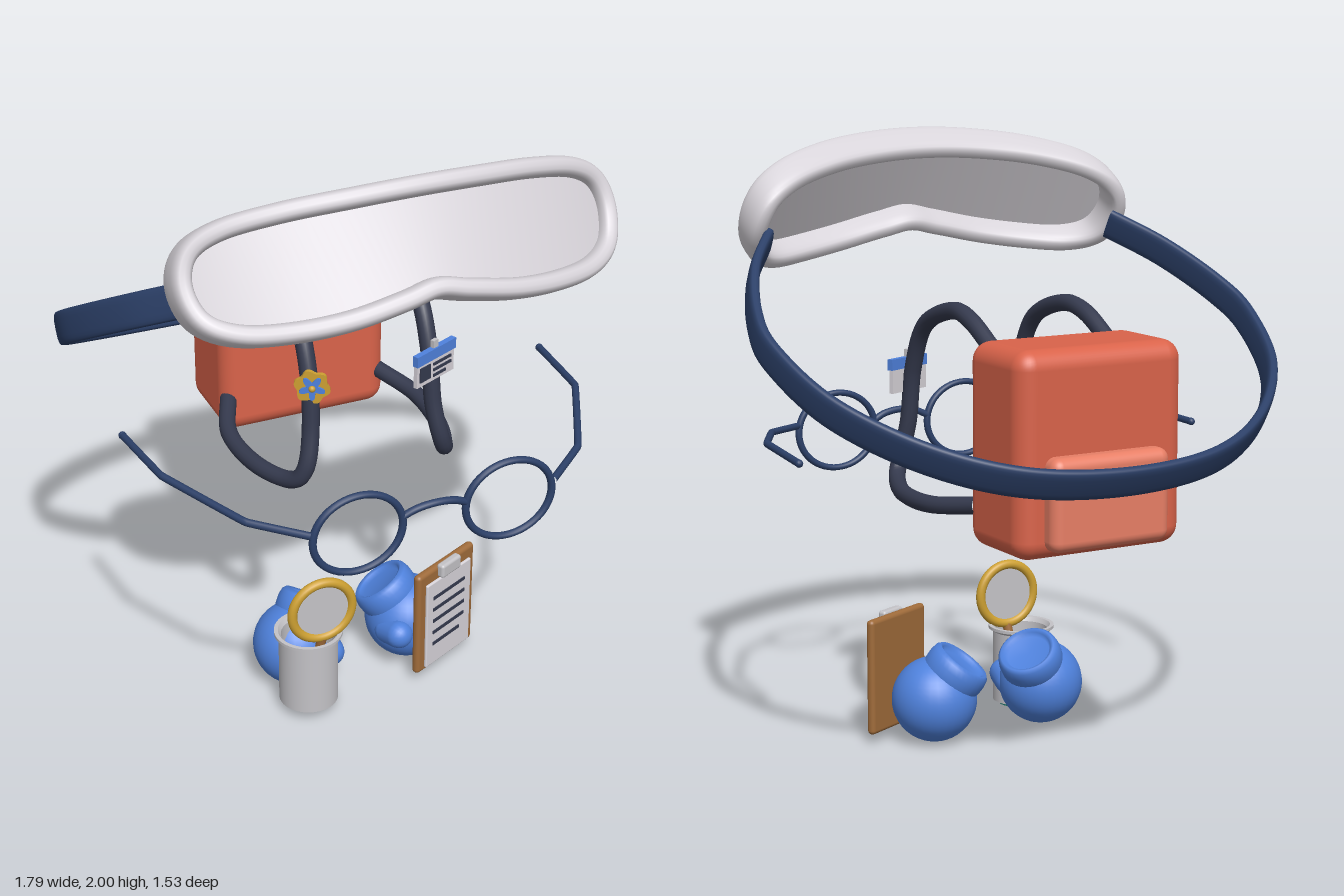
import * as THREE from 'three';
import { RoundedBoxGeometry } from 'three/addons/geometries/RoundedBoxGeometry.js';

const mat = (name, color, side = THREE.FrontSide) => {
  const m = new THREE.MeshStandardMaterial({ color, side });
  m.name = name;
  return m;
};
const V = (x, y, z) => new THREE.Vector3(x, y, z);
const spline = (pts, closed = false, tension = 0.5) =>
  new THREE.CatmullRomCurve3(pts, closed, 'catmullrom', tension);

// Sweeps a rounded section (half width a, half height b along axis) along points
function sweep(pts, axis, a, b, closed, power, sides = 20) {
  const n = pts.length, pos = [], idx = [];
  const soft = (v) => Math.sign(v) * Math.abs(v) ** power;
  pts.forEach((p, i) => {
    const prev = closed ? pts[(i + n - 1) % n] : pts[Math.max(i - 1, 0)];
    const next = closed ? pts[(i + 1) % n] : pts[Math.min(i + 1, n - 1)];
    const side = next.clone().sub(prev).cross(axis).normalize();
    for (let j = 0; j < sides; j++) {
      const t = (j / sides) * Math.PI * 2;
      const q = p.clone().addScaledVector(side, a * soft(Math.cos(t))).addScaledVector(axis, b * soft(Math.sin(t)));
      pos.push(q.x, q.y, q.z);
    }
  });
  for (let i = 0; i < (closed ? n : n - 1); i++) for (let j = 0; j < sides; j++) {
    const k = (j + 1) % sides, i0 = i * sides, i1 = ((i + 1) % n) * sides;
    idx.push(i0 + j, i1 + j, i0 + k, i1 + j, i1 + k, i0 + k);
  }
  return indexed(pos, idx);
}
function indexed(pos, idx) {
  const g = new THREE.BufferGeometry();
  g.setAttribute('position', new THREE.Float32BufferAttribute(pos, 3));
  g.setIndex(idx);
  g.computeVertexNormals();
  return g;
}
// Scalloped plate
function flower(radius, wave, petals, depth) {
  const pts = [];
  for (let i = 0; i < 72; i++) {
    const t = (i / 72) * Math.PI * 2, r = radius + wave * Math.cos(petals * t + Math.PI / 2);
    pts.push(new THREE.Vector2(r * Math.cos(t), r * Math.sin(t)));
  }
  return new THREE.ExtrudeGeometry(new THREE.Shape(pts), { depth, bevelEnabled: false });
}

export function createModel() {
  const pale = mat('pale grey', 0xd8d4da, THREE.DoubleSide), steel = mat('steel grey', 0xc4c3c7, THREE.DoubleSide);
  const navy = mat('navy', 0x2c4068), charcoal = mat('charcoal', 0x353a4e);
  const orange = mat('orange', 0xd9634a), coral = mat('coral', 0xe87f66);
  const blue = mat('blue', 0x4f82dd), brown = mat('brown', 0x9f6b3a);
  const gold = mat('gold', 0xcda032), teal = mat('teal', 0x2fa592);

  const root = new THREE.Group();
  const group = (name, x = 0, y = 0, z = 0, ry = 0) => {
    const g = new THREE.Group();
    g.name = name;
    g.position.set(x, y, z);
    g.rotation.y = ry;
    root.add(g);
    return g;
  };
  const add = (parent, name, geo, m, x = 0, y = 0, z = 0) => {
    const mesh = new THREE.Mesh(geo, m);
    mesh.name = name;
    mesh.position.set(x, y, z);
    parent.add(mesh);
    return mesh;
  };
  const box = (w, h, d) => new THREE.BoxGeometry(w, h, d);
  const rbox = (w, h, d, r) => new RoundedBoxGeometry(w, h, d, 5, r);

  // Goggles, tipped back by 30 degrees: x, height and forward in their own frame
  const goggles = group('goggles');
  const S = 0.5, C = Math.sqrt(0.75);
  const tip = (x, u, f) => V(x, C * u + S * f, C * f - S * u);
  const wrap = (x) => 1.44 - 0.44 * x * x;
  const half = [[0.65, 1.36], [0.56, 1.405], [0.4, 1.42], [0.2, 1.422]];
  const low = [[0.65, 1.165], [0.56, 1.105], [0.42, 1.082], [0.26, 1.083], [0.1, 1.108]];
  const flip = (a) => a.map(([x, u]) => [-x, u]).reverse();
  const outline = [[0.68, 1.27], ...half, [0, 1.423], ...flip(half), [-0.68, 1.27],
    ...flip(low).reverse(), [0, 1.128], ...[...low].reverse()];
  const loop = spline(outline.map(([x, u]) => V(x, u, 0)), true).getPoints(160).slice(0, 160);
  add(goggles, 'goggleFrame',
    sweep(loop.map((p) => tip(p.x, p.y, wrap(p.x))), tip(0, 0, 1), 0.032, 0.072, true, 0.7), pale);

  // Curved lens: strips joining the upper and lower edge
  const top = spline(outline.slice(0, 11).map(([x, u]) => V(x, u, 0))).getPoints(80);
  const bottom = spline([...outline.slice(10), outline[0]].map(([x, u]) => V(x, u, 0))).getPoints(80).reverse();
  const lp = [], li = [];
  top.forEach((t, i) => {
    for (const p of [t, bottom[i]]) lp.push(...tip(p.x, p.y, wrap(p.x) + 0.02).toArray());
    if (i < 80) li.push(2 * i, 2 * i + 2, 2 * i + 1, 2 * i + 1, 2 * i + 2, 2 * i + 3);
  });
  add(goggles, 'goggleLens', indexed(lp, li), pale);

  // Head strap
  const sp = [[0.65, 0.4], [0.77, 0.24], [0.855, 0.04], [0.87, -0.12], [0.79, -0.36], [0.59, -0.57], [0.33, -0.7]];
  const strapPts = [...sp, [0, -0.74], ...flip(sp)].map(([x, z]) => V(x, 1.012 + (z + 0.74) * 0.568, z));
  add(goggles, 'headStrap',
    sweep(spline(strapPts).getSpacedPoints(120), V(0, 0.87, -0.494), 0.018, 0.053, false, 0.6), navy);

  // Backpack
  const pack = group('backpack');
  add(pack, 'packBody', rbox(0.59, 0.64, 0.33, 0.06), orange, 0, 1.08, -0.435);
  add(pack, 'packPocket', rbox(0.42, 0.29, 0.13, 0.035), coral, 0, 0.935, -0.592);
  for (const s of [1, -1]) {
    const path = [[0.21, 1.36, -0.3], [0.21, 1.44, -0.15], [0.205, 1.456, -0.02], [0.205, 1.39, 0.16],
      [0.205, 1.24, 0.245], [0.21, 1.06, 0.272], [0.235, 0.93, 0.288], [0.27, 0.872, 0.24],
      [0.325, 0.857, 0.08], [0.335, 0.862, -0.12], [0.27, 0.885, -0.3]].map(([x, y, z]) => V(s * x, y, z));
    add(pack, 'shoulderStrap', new THREE.TubeGeometry(spline(path), 90, 0.028, 14), charcoal);
  }

  // Name card pinned to a strap
  const card = group('nameCard', 0.203, 1.215, 0.287, 0.43);
  add(card, 'cardBase', box(0.178, 0.11, 0.014), pale, 0, -0.003, 0);
  add(card, 'cardHeader', box(0.186, 0.036, 0.02), blue, 0, 0.037, 0.002);
  add(card, 'cardPhoto', box(0.05, 0.05, 0.006), charcoal, -0.052, -0.017, 0.008);
  for (const [w, y] of [[0.085, 0], [0.085, -0.02], [0.06, -0.04]])
    add(card, 'cardLine', box(w, 0.009, 0.006), charcoal, 0.03 - (0.085 - w) / 2, y, 0.008);
  add(card, 'cardClip', box(0.022, 0.03, 0.014), steel, 0, 0.065, 0);

  // Flower badge pinned to the other strap
  const badge = group('flowerBadge', -0.205, 1.215, 0.275, -0.43);
  add(badge, 'badgePlate', flower(0.053, 0.005, 6, 0.014), gold);
  add(badge, 'badgeFlower', flower(0.03, 0.012, 5, 0.008), blue, 0, 0, 0.014);
  add(badge, 'badgeCentre', new THREE.SphereGeometry(0.011, 12, 8), gold, 0, 0, 0.022);

  // Spectacles
  const specs = group('spectacles');
  for (const s of [1, -1]) {
    add(specs, 'lensRing', new THREE.TorusGeometry(0.146, 0.012, 12, 56), navy, s * 0.25, 0.957, 0.73)
      .scale.set(1, 0.9, 1);
    const arm = [[0.4, 0.985, 0.73], [0.556, 0.998, 0.6], [0.71, 1.024, 0.295], [0.735, 1.012, 0]]
      .map(([x, y, z]) => V(s * x, y, z));
    add(specs, 'templeArm', new THREE.TubeGeometry(spline(arm, false, 0.05), 60, 0.012, 10), navy);
    add(specs, 'armTip', new THREE.SphereGeometry(0.013, 12, 8), navy, s * 0.735, 1.012, 0);
  }
  const bridge = spline([V(-0.105, 0.98, 0.73), V(-0.06, 1, 0.735), V(0, 1.008, 0.738), V(0.06, 1, 0.735), V(0.105, 0.98, 0.73)]);
  add(specs, 'bridge', new THREE.TubeGeometry(bridge, 30, 0.012, 10), navy);

  // Mittens with cuffs leaning inward
  for (const s of [1, -1]) {
    const hand = group(s > 0 ? 'leftMitten' : 'rightMitten', s * 0.205, 0.145, 0.112);
    add(hand, 'palm', new THREE.SphereGeometry(0.142, 32, 24), blue);
    const axis = V(-s * 0.5, 0.8, -0.3).normalize();
    const profile = [[0, 0.145], [0.072, 0.145], [0.08, 0.16], [0.092, 0.166], [0.103, 0.155], [0.108, 0.13], [0.107, 0.1], [0.1, 0.08]]
      .map(([r, y]) => new THREE.Vector2(r, y)).reverse();
    add(hand, 'cuff', new THREE.LatheGeometry(profile, 36), blue)
      .quaternion.setFromUnitVectors(V(0, 1, 0), axis);
    const thumb = add(hand, 'thumb', new THREE.CapsuleGeometry(0.048, 0.06, 8, 18), blue, -s * 0.085, 0.005, 0.085);
    thumb.quaternion.setFromUnitVectors(V(0, 1, 0), V(s * 0.2, 0.25, 1).normalize());
  }

  // Open can with a coloured base
  const can = group('can', -0.223, 0, 0.272);
  const wall = [[0.098, 0.04], [0.098, 0.285], [0.113, 0.295], [0.113, 0.305], [0.1, 0.305], [0.09, 0.29], [0.09, 0.04], [0.098, 0.04]];
  for (let i = 0; i + 1 < wall.length; i++)
    add(can, 'canWall', new THREE.LatheGeometry([wall[i], wall[i + 1]].map(([r, y]) => new THREE.Vector2(r, y)), 40), steel);
  add(can, 'canBase', new THREE.CylinderGeometry(0.092, 0.08, 0.03, 40), teal, 0, 0.043, 0);

  // Magnifier standing in the can
  const glass = group('magnifier', -0.195, 0.405, 0.322);
  add(glass, 'magnifierRing', new THREE.TorusGeometry(0.104, 0.016, 14, 48), gold);
  add(glass, 'magnifierLens', new THREE.CylinderGeometry(0.1, 0.1, 0.01, 40), steel).rotation.x = Math.PI / 2;
  const grip = new THREE.LineCurve3(V(0, -0.105, 0), V(-0.02, -0.34, -0.05));
  add(glass, 'magnifierHandle', new THREE.TubeGeometry(grip, 4, 0.016, 14), brown);

  // Clipboard
  const board = group('clipboard', 0.283, 0.23, 0.235, 0.45);
  add(board, 'boardPanel', rbox(0.295, 0.39, 0.03, 0.014), brown);
  add(board, 'paper', rbox(0.232, 0.33, 0.012, 0.005), pale, 0.003, -0.015, 0.018);
  for (let i = 0; i < 5; i++)
    add(board, 'paperLine', box(i === 4 ? 0.14 : 0.165, 0.012, 0.006), charcoal, i === 4 ? -0.012 : 0, 0.088 - i * 0.046, 0.024);
  add(board, 'boardClip', rbox(0.1, 0.05, 0.03, 0.01), steel, 0, 0.178, 0.022);

  return root;
}
